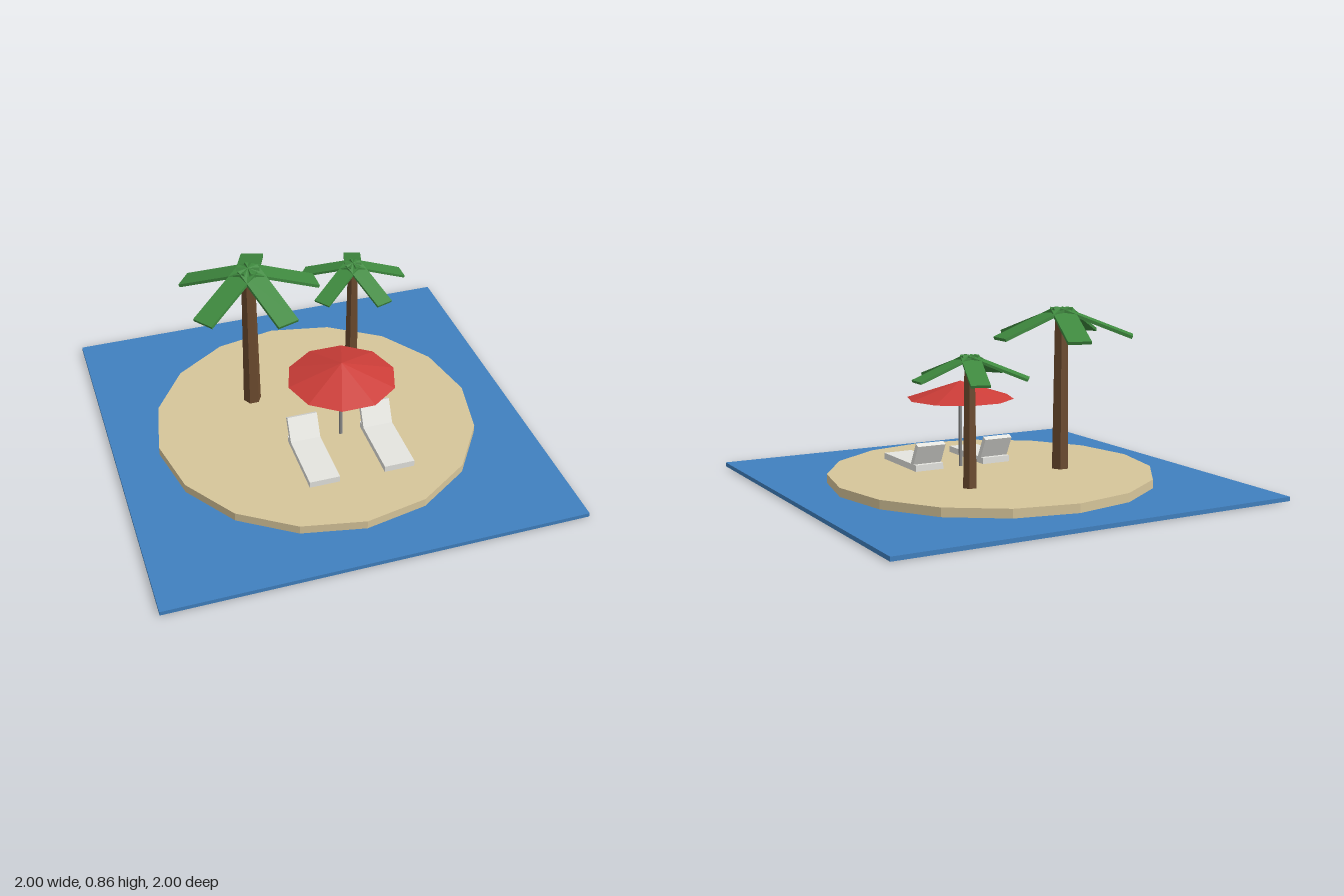
import * as THREE from 'three';

const paint = (color) => new THREE.MeshStandardMaterial({ color, flatShading: true });
const SEA = paint(0x4080bf), SAND = paint(0xd6c59a), BARK = paint(0x6b4a2e), LEAF = paint(0x3f8a3f);
const RED = paint(0xcc3d38), POLE = paint(0x8c8c8c), CREAM = paint(0xe4e4df);
const GROUND = 0.064;

function add(parent, name, geometry, material, x = 0, y = 0, z = 0) {
  const mesh = new THREE.Mesh(geometry, material);
  mesh.name = name;
  mesh.position.set(x, y, z);
  parent.add(mesh);
  return mesh;
}

function group(parent, name, x = 0, y = 0, z = 0) {
  const g = new THREE.Group();
  g.name = name;
  g.position.set(x, y, z);
  parent.add(g);
  return g;
}

// Upright tapered prism with a corner on the +x axis, standing on y = 0
const prism = (rTop, rBottom, height, sides) =>
  new THREE.CylinderGeometry(rTop, rBottom, height, sides).rotateY(Math.PI / 2).translate(0, height / 2, 0);

// Palm: six-sided trunk and five drooping plank leaves meeting at the crown
function palm(parent, name, x, z, crownY, size) {
  const base = 0.087;
  const g = group(parent, name, x, base, z);
  add(g, 'trunk', prism(0.033 * size, 0.044 * size, crownY - base - 0.012, 6), BARK);
  const crown = group(g, 'crown', 0, crownY - base, 0);
  const length = 0.36 * size, thickness = 0.015 * size;
  for (let i = 0; i < 5; i++) {
    const leaf = new THREE.BoxGeometry(length, thickness, 0.11 * size)
      .translate(length / 2, -thickness / 2, 0)
      .rotateZ(-0.36)
      .rotateY((i * Math.PI * 2) / 5);
    add(crown, 'leaf', leaf, LEAF);
  }
}

// Lounger: flat seat slab with a reclined backrest at its rear end
function lounger(parent, name, x) {
  const g = group(parent, name, x, GROUND, 0);
  add(g, 'seat', new THREE.BoxGeometry(0.148, 0.031, 0.357), CREAM, 0, 0.0155, 0.315);
  const back = add(g, 'backrest', new THREE.BoxGeometry(0.148, 0.14, 0.027), CREAM, 0, 0.07, 0.155);
  back.rotation.x = -0.48;
}

export function createModel() {
  const model = new THREE.Group();
  model.name = 'beachIsland';

  // Water slab and sandy island
  add(model, 'sea', new THREE.BoxGeometry(2, 0.02, 2), SEA, 0, 0.0115, 0);
  add(model, 'island', prism(0.787, 0.787, GROUND, 16), SAND);

  palm(model, 'tallPalm', -0.263, -0.21, 0.857, 1);
  palm(model, 'shortPalm', 0.315, -0.37, 0.683, 0.78);

  // Parasol
  const parasol = group(model, 'parasol', 0.082, GROUND, 0.157);
  add(parasol, 'pole', prism(0.009, 0.009, 0.4, 8), POLE);
  add(parasol, 'canopy', prism(0, 0.262, 0.085, 10), RED, 0, 0.338, 0);

  lounger(model, 'rightLounger', -0.107);
  lounger(model, 'leftLounger', 0.262);
  return model;
}
